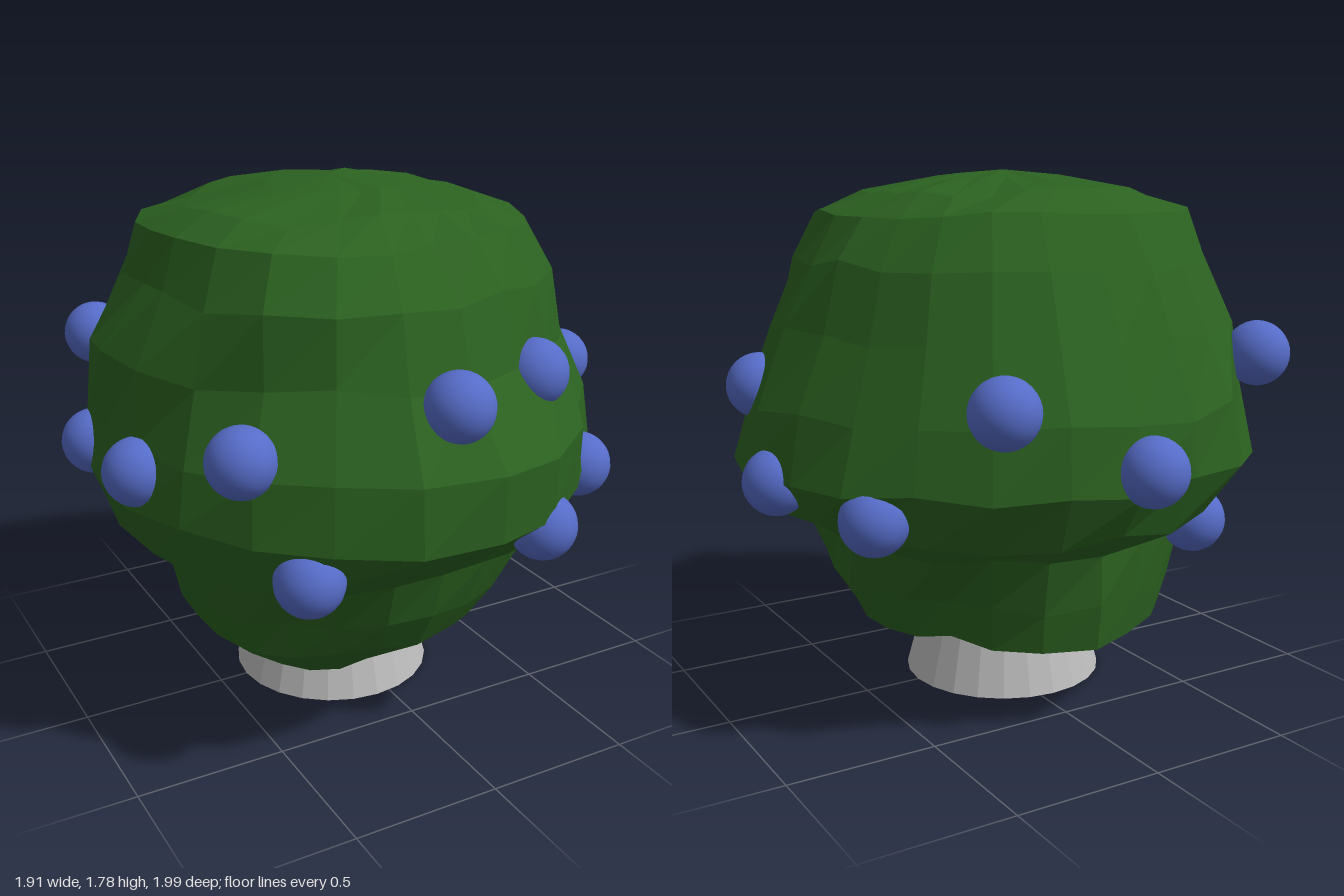
import * as THREE from 'three';

const leafMat = new THREE.MeshStandardMaterial({ color: 0x2b6120, flatShading: true });
leafMat.name = 'leaf green';
const berryMat = new THREE.MeshStandardMaterial({ color: 0x566cc8 });
berryMat.name = 'berry blue';
const trunkMat = new THREE.MeshStandardMaterial({ color: 0xbcbcbc, flatShading: true });
trunkMat.name = 'trunk grey';

// Seeded random in -1..1
function makeRandom(seed) {
  return () => {
    seed = (seed * 16807) % 2147483647;
    return (seed / 2147483647) * 2 - 1;
  };
}

// Crown rings, bottom to top: height, then reach to front, front-left, left,
// back-left, back, back-right, right, front-right
const RINGS = [
  [0.26, 0.20, 0.18, 0.18, 0.18, 0.18, 0.22, 0.24, 0.22],
  [0.20, 0.32, 0.30, 0.32, 0.34, 0.50, 0.45, 0.42, 0.40],
  [0.28, 0.53, 0.50, 0.49, 0.50, 0.67, 0.60, 0.59, 0.59],
  [0.42, 0.62, 0.58, 0.55, 0.55, 0.69, 0.63, 0.63, 0.63],
  [0.60, 0.67, 0.68, 0.60, 0.68, 0.70, 0.67, 0.71, 0.75],
  [0.68, 0.78, 0.76, 0.78, 0.77, 0.81, 0.78, 0.83, 0.87],
  [0.85, 0.99, 0.85, 0.90, 0.88, 0.89, 0.92, 0.90, 0.94],
  [1.05, 0.98, 0.83, 0.85, 0.84, 0.86, 0.88, 0.88, 0.91],
  [1.28, 0.79, 0.74, 0.75, 0.74, 0.78, 0.82, 0.87, 0.82],
  [1.50, 0.71, 0.70, 0.66, 0.69, 0.66, 0.74, 0.72, 0.80],
  [1.65, 0.56, 0.62, 0.58, 0.57, 0.58, 0.65, 0.69, 0.71],
  [1.72, 0.42, 0.46, 0.40, 0.45, 0.42, 0.48, 0.56, 0.57],
  [1.765, 0.25, 0.20, 0.14, 0.18, 0.20, 0.24, 0.28, 0.28],
];

function crownGeometry() {
  const SEG = 24;
  const rnd = makeRandom(4711);
  const pos = [];
  const index = [];
  RINGS.forEach(([y, ...reach], i) => {
    for (let j = 0; j < SEG; j++) {
      const a = (j / SEG) * Math.PI * 2;
      const s = Math.sin(a), c = Math.cos(a);
      // blend between the two nearest of the eight directions
      const d = (j / SEG) * 8, k = Math.floor(d), t = d - k;
      const r = THREE.MathUtils.lerp(reach[k], reach[(k + 1) % 8], t) * (1 + 0.02 * rnd());
      // underside tilts: up at the back left, down at the front right
      const lift = i < 2 ? 0.04 * (s - c) : 0;
      pos.push(r * s, y + lift + (i < 12 ? 0.018 : 0.006) * rnd(), r * c);
    }
  });
  for (let i = 0; i < RINGS.length - 1; i++) {
    for (let j = 0; j < SEG; j++) {
      const k = (j + 1) % SEG;
      const a = i * SEG + j, b = i * SEG + k;
      index.push(a, b, b + SEG, a, b + SEG, a + SEG);
    }
  }
  // top cap
  const tip = pos.length / 3;
  const last = (RINGS.length - 1) * SEG;
  pos.push(-0.05, 1.785, 0);
  for (let j = 0; j < SEG; j++) index.push(last + j, last + ((j + 1) % SEG), tip);
  const g = new THREE.BufferGeometry();
  g.setAttribute('position', new THREE.Float32BufferAttribute(pos, 3));
  g.setIndex(index);
  g.computeVertexNormals();
  return g;
}

const BERRIES = [
  [-0.07, 1.23, 0.83], [0.30, 1.24, 0.69], [-0.66, 1.09, 0.60], [-0.85, 0.97, 0.24],
  [-0.51, 0.73, 0.73], [0.25, 0.79, 0.84], [0.59, 0.84, 0.58], [0.78, 1.08, 0.20],
  [0.84, 0.82, -0.09], [0.68, 0.76, -0.47], [0.40, 1.11, -0.76], [-0.04, 0.91, -0.89],
  [-0.69, 1.18, -0.60], [-0.84, 0.92, -0.21], [-0.45, 0.63, -0.58],
];

export function createModel() {
  const model = new THREE.Group();
  model.name = 'berryBush';

  // Tapered trunk
  const trunk = new THREE.Mesh(new THREE.CylinderGeometry(0.23, 0.35, 0.45, 24), trunkMat);
  trunk.name = 'trunk';
  trunk.position.set(-0.05, 0.225, 0);
  model.add(trunk);

  // Faceted leafy crown
  const crown = new THREE.Mesh(crownGeometry(), leafMat);
  crown.name = 'crown';
  model.add(crown);

  // Berries half sunk in the crown
  const berries = new THREE.Group();
  berries.name = 'berries';
  const ball = new THREE.SphereGeometry(0.11, 24, 16);
  for (const p of BERRIES) {
    const berry = new THREE.Mesh(ball, berryMat);
    berry.name = 'berry';
    berry.position.set(...p);
    berries.add(berry);
  }
  model.add(berries);
  return model;
}
